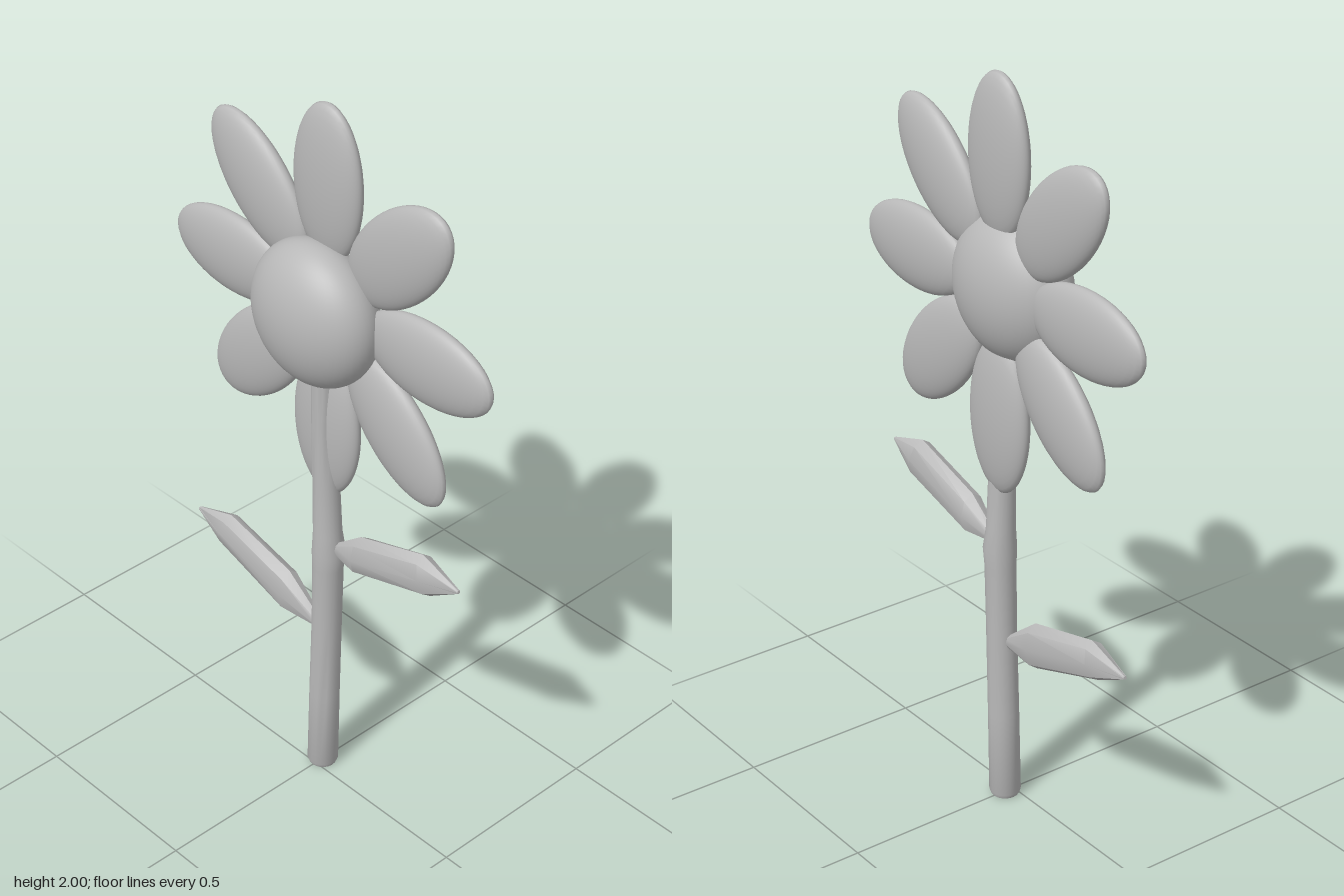
import * as THREE from 'three';
import { toCreasedNormals } from 'three/addons/utils/BufferGeometryUtils.js';

// Closed skin over elliptical sections: [x1, y1, x2, y2, z, halfDepth], where
// (x1, y1) and (x2, y2) are the two ends of the section's in-plane axis.
function skin(sections, sides, crease) {
  const pos = [], index = [];
  const ring = (r, i) => r * sides + (i % sides);
  for (const [x1, y1, x2, y2, z, depth] of sections) {
    for (let i = 0; i < sides; i++) {
      const a = (i / sides) * Math.PI * 2, c = Math.cos(a) / 2;
      pos.push((x1 + x2) / 2 + (x1 - x2) * c, (y1 + y2) / 2 + (y1 - y2) * c, z + depth * Math.sin(a));
    }
  }
  for (let r = 0; r < sections.length - 1; r++) {
    for (let i = 0; i < sides; i++) {
      const a = ring(r, i), b = ring(r, i + 1), c = ring(r + 1, i + 1), d = ring(r + 1, i);
      index.push(a, b, c, a, c, d);
    }
  }
  // End caps
  const last = sections.length - 1;
  for (let i = 1; i < sides - 1; i++) {
    index.push(ring(0, 0), ring(0, i + 1), ring(0, i));
    index.push(ring(last, 0), ring(last, i), ring(last, i + 1));
  }
  const geometry = new THREE.BufferGeometry();
  geometry.setAttribute('position', new THREE.Float32BufferAttribute(pos, 3));
  geometry.setIndex(index);
  return toCreasedNormals(geometry, crease);
}

export function createModel() {
  const model = new THREE.Group();
  model.name = 'flower';
  const grey = new THREE.MeshStandardMaterial({ color: 0xb8b8b8 });
  grey.name = 'plain grey';

  const add = (name, geometry, parent = model) => {
    const mesh = new THREE.Mesh(geometry, grey);
    mesh.name = name;
    parent.add(mesh);
    return mesh;
  };

  // Flower head: domed centre with eight petals set slightly behind it
  const head = new THREE.Group();
  head.name = 'flowerHead';
  head.position.y = 1.45;
  model.add(head);

  add('centre', new THREE.SphereGeometry(1, 48, 32), head).scale.set(0.192, 0.192, 0.12);

  const petalGeometry = new THREE.SphereGeometry(1, 32, 24);
  for (let i = 0; i < 8; i++) {
    const angle = (i * Math.PI) / 4;
    const petal = add('petal', petalGeometry, head);
    petal.position.set(Math.cos(angle) * 0.34, Math.sin(angle) * 0.34, -0.041);
    petal.rotation.z = angle;
    petal.scale.set(0.21, 0.112, 0.041);
  }

  // Stem: leans a little, swells at the upper leaf, then thins up to the head
  const stem = [
    [0, 0, 0.037, -0.027],
    [0, 0.012, 0.042, -0.027],
    [0.006, 0.25, 0.041, -0.027],
    [0.014, 0.5, 0.04, -0.027],
    [0.018, 0.68, 0.041, -0.027],
    [0.02, 0.73, 0.044, -0.027],
    [0.017, 0.79, 0.038, -0.026],
    [0.013, 0.95, 0.035, -0.024],
    [0.01, 1.12, 0.031, -0.018],
    [0.007, 1.3, 0.028, -0.016],
  ].map(([x, y, r, z]) => [x - r, y, x + r, y, z, r]);
  add('stem', skin(stem, 20, 0.9));

  // Leaves: thick, faceted blades tapering to a point
  add('leftLeaf', skin([
    [0.052, 0.768, 0.052, 0.73, -0.027, 0.014],
    [0.137, 0.834, 0.135, 0.72, -0.027, 0.037],
    [0.355, 0.902, 0.385, 0.79, -0.027, 0.035],
    [0.48, 0.862, 0.482, 0.853, -0.027, 0.005],
  ], 8, 0.7));
  add('rightLeaf', skin([
    [-0.025, 0.453, -0.012, 0.482, -0.027, 0.014],
    [-0.137, 0.445, -0.13, 0.574, -0.027, 0.037],
    [-0.385, 0.53, -0.358, 0.631, -0.027, 0.035],
    [-0.488, 0.581, -0.486, 0.59, -0.027, 0.005],
  ], 8, 0.7));

  return model;
}
